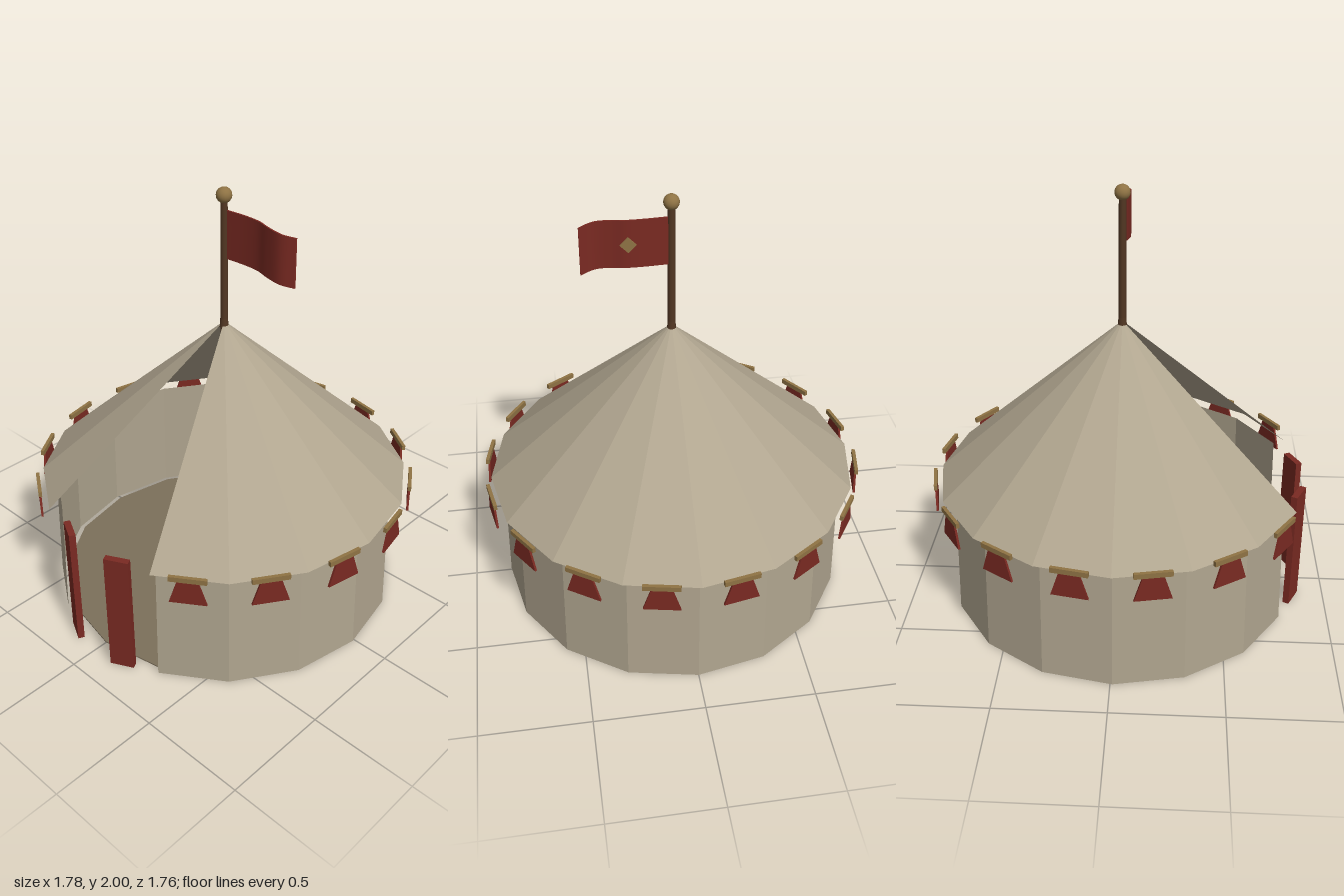
import * as THREE from 'three';

const mat = (name, color, side = THREE.FrontSide) => {
  const m = new THREE.MeshStandardMaterial({ color, side });
  m.name = name;
  return m;
};

// Split every face so that each keeps its own flat normal
const faceted = (geometry) => {
  const g = geometry.toNonIndexed();
  g.computeVertexNormals();
  return g;
};

export function createModel() {
  const canvas = mat('canvas', 0xb0a58f, THREE.DoubleSide);
  const ground = mat('groundsheet', 0x7c705b);
  const red = mat('red cloth', 0x7a2a22);
  const gold = mat('gold', 0x8f7344);
  const wood = mat('dark wood', 0x523723);

  const tent = new THREE.Group();
  tent.name = 'tent';
  tent.position.z = 0.01;
  const add = (name, geometry, material, parent = tent) => {
    const mesh = new THREE.Mesh(geometry, material);
    mesh.name = name;
    parent.add(mesh);
    return mesh;
  };

  // Sixteen-sided canvas shells, open over the two front segments
  const SEG = Math.PI / 8;
  const shell = (rTop, rBottom, y0, y1) =>
    faceted(new THREE.CylinderGeometry(rTop, rBottom, y1 - y0, 14, 1, true, SEG, SEG * 14)
      .translate(0, (y0 + y1) / 2, 0));
  add('wall', shell(0.81, 0.825, 0, 0.597), canvas);
  add('roof', shell(0.014, 0.87, 0.6, 1.365), canvas);

  // Groundsheet
  add('floor', faceted(new THREE.CylinderGeometry(0.798, 0.798, 0.006, 16).translate(0, 0.004, 0)), ground);

  // Centre pole with collar and ball finial
  add('pole', new THREE.CylinderGeometry(0.016, 0.021, 1.95, 12).translate(0, 0.975, 0), wood);
  add('collar', new THREE.CylinderGeometry(0.017, 0.021, 0.05, 12).translate(0, 1.375, 0), wood);
  add('finial', new THREE.SphereGeometry(0.035, 20, 14).translate(0, 1.965, 0), gold);

  // Door flaps, mirrored either side of the entrance
  for (const side of [1, -1]) {
    const flap = add('doorFlap', new THREE.BoxGeometry(0.112, 0.6, 0.03), red);
    flap.position.set(side * 0.157, 0.3, 0.83);
    flap.rotation.y = side * 0.47;
  }

  // Eave pennants: a gold bar over a flared red tab on each roof segment
  const tabShape = new THREE.Shape([
    new THREE.Vector2(-0.082, 0.5), new THREE.Vector2(0.082, 0.5),
    new THREE.Vector2(0.045, 0.615), new THREE.Vector2(-0.045, 0.615),
  ]);
  const tabGeo = new THREE.ExtrudeGeometry(tabShape, { depth: 0.01, bevelEnabled: false })
    .translate(0, 0, 0.88);
  const barGeo = new THREE.BoxGeometry(0.165, 0.024, 0.016).translate(0, 0.624, 0.885);
  for (let i = 0; i < 14; i++) {
    const pennant = new THREE.Group();
    pennant.name = 'pennant';
    pennant.rotation.y = SEG * (i + 1.5);
    add('pennantTab', tabGeo, red, pennant);
    add('pennantBar', barGeo, gold, pennant);
    tent.add(pennant);
  }

  // Waving flag: a thin box bent along a curve and drooping to its free end
  const wave = new THREE.SplineCurve([
    [0.015, -0.004], [0.11, -0.009], [0.19, -0.006], [0.25, 0.01],
    [0.31, 0.02], [0.35, 0.014], [0.393, -0.009],
  ].map(([x, z]) => new THREE.Vector2(x, z)));
  const flagGeo = new THREE.BoxGeometry(1, 0.22, 0.008, 28, 1, 1);
  const p = flagGeo.attributes.position;
  for (let i = 0; i < p.count; i++) {
    const t = p.getX(i) + 0.5;
    const c = wave.getPoint(t);
    p.setXYZ(i, c.x, 1.79 + p.getY(i) - 0.023 * t * t, c.y + p.getZ(i));
  }
  flagGeo.computeVertexNormals();
  add('flag', flagGeo, red);

  // Diamond ornament on the back of the flag
  const diamond = add('flagDiamond', new THREE.BoxGeometry(0.05, 0.05, 0.009), gold);
  diamond.position.set(0.187, 1.788, -0.016);
  diamond.rotation.z = Math.PI / 4;

  const model = new THREE.Group();
  model.name = 'model';
  model.add(tent);
  return model;
}
